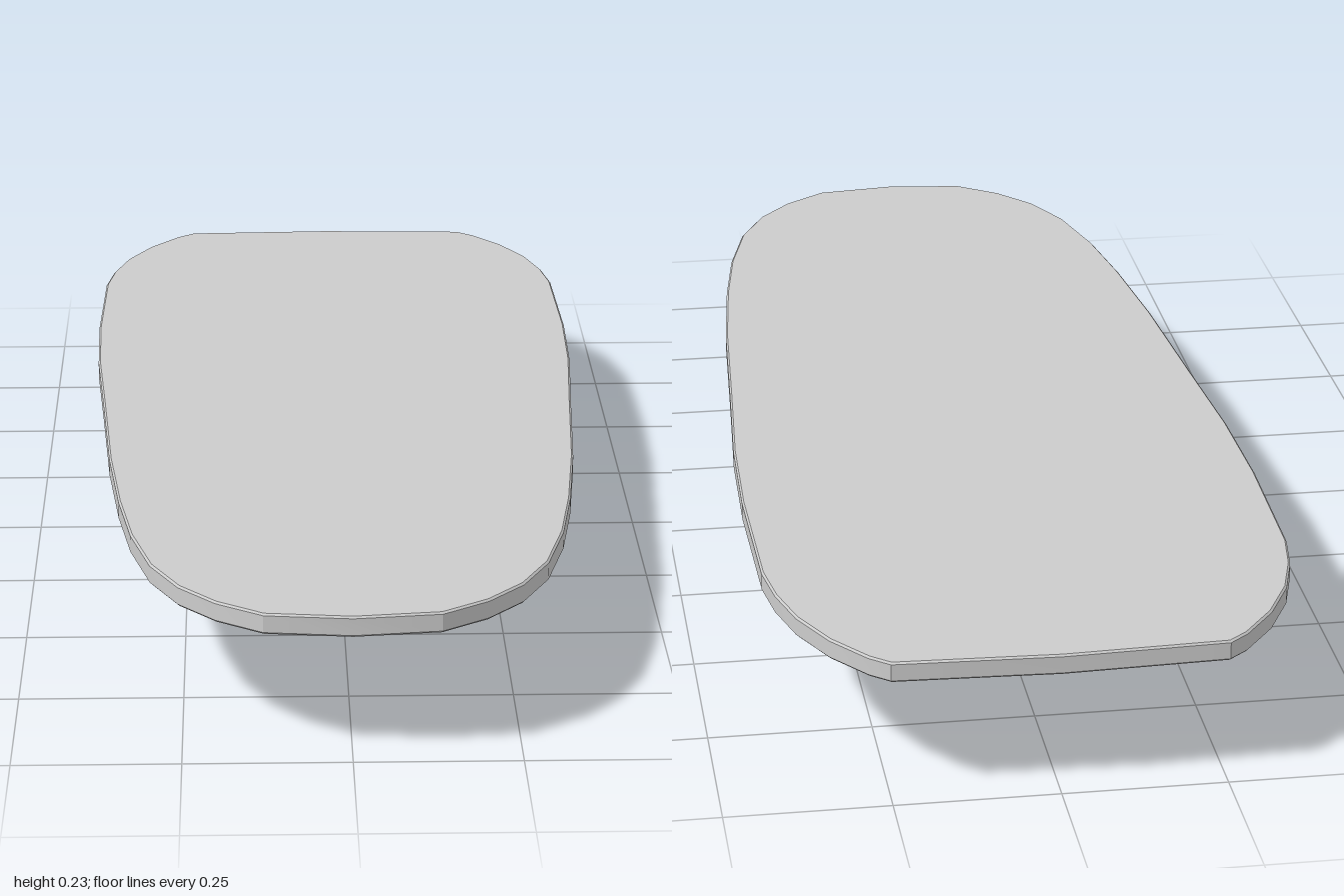
import * as THREE from 'three';
import { toCreasedNormals } from 'three/addons/utils/BufferGeometryUtils.js';
import { ParametricGeometry } from 'three/addons/geometries/ParametricGeometry.js';

const BOARD_BOTTOM = 0.197, BOARD_TOP = 0.229;

// Flat deck: half outline (x, z) mirrored across x = 0, then extruded
function boardGeometry() {
  const half = [
    [0.25, -0.99], [0.28, -0.965], [0.33, -0.9], [0.37, -0.82], [0.393, -0.74], [0.405, -0.66],
    [0.41, -0.4], [0.405, -0.2], [0.39, 0.02], [0.372, 0.3], [0.352, 0.5], [0.33, 0.65],
    [0.298, 0.78], [0.255, 0.87], [0.2, 0.935], [0.13, 0.985],
  ];
  const mirrored = half.map(([x, z]) => [-x, z]).reverse();
  const outline = [[0, -1], ...half, [0, 1], ...mirrored].map(p => new THREE.Vector2(...p));
  const bevel = 0.003;
  const geometry = new THREE.ExtrudeGeometry(new THREE.Shape(outline), {
    depth: BOARD_TOP - BOARD_BOTTOM - 2 * bevel,
    bevelThickness: bevel, bevelSize: bevel, bevelOffset: -bevel, bevelSegments: 1,
  });
  geometry.rotateX(Math.PI / 2);
  geometry.translate(0, BOARD_TOP - bevel, 0);
  return toCreasedNormals(geometry, 0.5);
}

// Strap: flattened oval section swept along a loop hanging between two mounts
function strapGeometry(start, end, profile) {
  const path = new THREE.CatmullRomCurve3(profile.map(([s, y]) => new THREE.Vector3(
    THREE.MathUtils.lerp(start[0], end[0], s), y, THREE.MathUtils.lerp(start[1], end[1], s))));
  const across = new THREE.Vector3(start[1] - end[1], 0, end[0] - start[0]).normalize();
  const normal = new THREE.Vector3();
  return new ParametricGeometry((u, v, target) => {
    const angle = v * Math.PI * 2;
    normal.crossVectors(across, path.getTangentAt(u));
    target.copy(path.getPointAt(u))
      .addScaledVector(across, Math.cos(angle) * 0.014)
      .addScaledVector(normal, Math.sin(angle) * 0.007);
  }, 36, 12);
}

// Mount: thin flange with a tapering socket below it
function mountGeometry() {
  const profile = [
    [0, 0.156], [0.013, 0.157], [0.019, 0.164], [0.026, 0.179], [0.027, 0.188],
    [0.034, 0.19], [0.036, 0.194], [0.035, 0.198],
  ].map(p => new THREE.Vector2(...p));
  return toCreasedNormals(new THREE.LatheGeometry(profile, 14), 0.7);
}

export function createModel() {
  const model = new THREE.Group();
  model.name = 'board';
  const grey = new THREE.MeshStandardMaterial({ color: 0xcccccc });
  grey.name = 'light grey';

  const add = (parent, name, geometry) => {
    const mesh = new THREE.Mesh(geometry, grey);
    mesh.name = name;
    parent.add(mesh);
    return mesh;
  };

  add(model, 'deck', boardGeometry());

  // Two slanted carrying handles under the deck; profile is [fraction along, height]
  const handles = [
    {
      name: 'rightHandle', start: [-0.285, -0.19], end: [-0.125, -0.56],
      profile: [[0, 0.172], [0.01, 0.145], [0.14, 0.1], [0.36, 0.07], [0.6, 0.06],
        [0.85, 0.08], [1.03, 0.12], [1.06, 0.15], [1, 0.172]],
    },
    {
      name: 'leftHandle', start: [0, -0.07], end: [0.175, -0.56],
      profile: [[0, 0.172], [0.04, 0.12], [0.12, 0.05], [0.2, 0.018], [0.3, 0.008], [0.45, 0.018],
        [0.65, 0.05], [0.86, 0.087], [1.03, 0.125], [1.06, 0.15], [1, 0.172]],
    },
  ];
  const mount = mountGeometry();
  for (const { name, start, end, profile } of handles) {
    const handle = new THREE.Group();
    handle.name = name;
    add(handle, 'strap', strapGeometry(start, end, profile));
    add(handle, 'frontMount', mount).position.set(start[0], 0, start[1]);
    add(handle, 'backMount', mount).position.set(end[0], 0, end[1]);
    model.add(handle);
  }
  return model;
}
